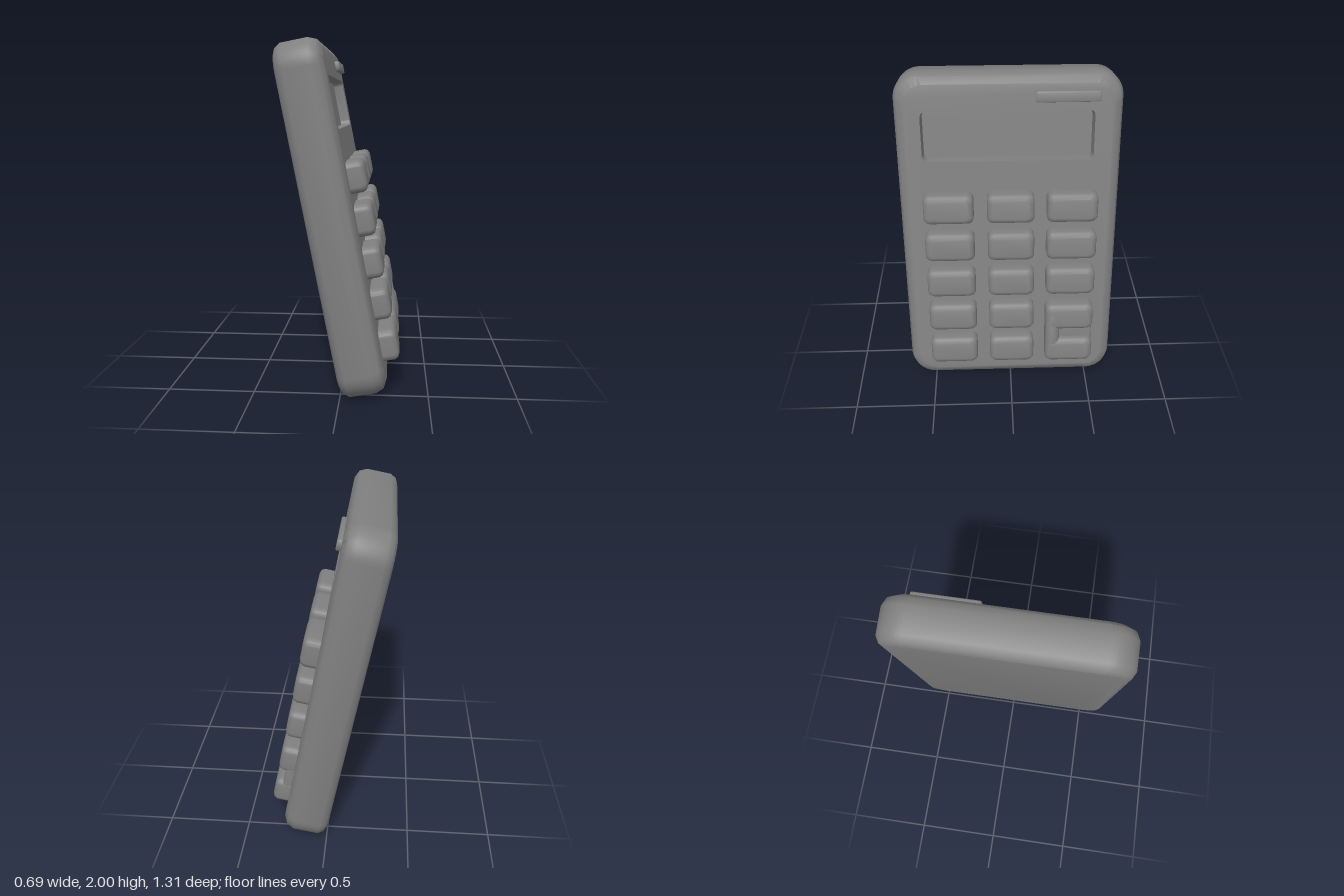
import * as THREE from 'three';
import { mergeGeometries, toCreasedNormals } from 'three/addons/utils/BufferGeometryUtils.js';

const TILT = 0.191, FRONT = 0.133; // lean angle; distance of the front face from the mid plane

// Rounded rectangle, drawn counter-clockwise
function roundRect(cx, cy, w, h, r) {
  const s = new THREE.Shape(), x = w / 2 - r, y = h / 2 - r;
  s.absarc(cx + x, cy + y, r, 0, Math.PI / 2);
  s.absarc(cx - x, cy + y, r, Math.PI / 2, Math.PI);
  s.absarc(cx - x, cy - y, r, Math.PI, Math.PI * 1.5);
  s.absarc(cx + x, cy - y, r, Math.PI * 1.5, Math.PI * 2);
  s.closePath();
  return s;
}

// Flat face at depth z
function cap(shape, z) {
  const g = new THREE.ShapeGeometry(shape, 6).toNonIndexed();
  g.deleteAttribute('uv');
  return g.translate(0, 0, z);
}

// Walls through rounded rectangles; each ring is [depth, inset]
function walls(cx, cy, w, h, r, rings) {
  const loops = rings.map(([z, inset]) =>
    roundRect(cx, cy, w - 2 * inset, h - 2 * inset, Math.max(r - inset * 0.6, 0.004))
      .getPoints(6).map(p => [p.x, p.y, z]));
  const pos = [];
  for (let k = 0; k + 1 < loops.length; k++) {
    const lo = loops[k], hi = loops[k + 1], n = lo.length;
    for (let i = 0; i < n; i++) {
      const j = (i + 1) % n;
      pos.push(...lo[i], ...lo[j], ...hi[j], ...lo[i], ...hi[j], ...hi[i]);
    }
  }
  const g = new THREE.BufferGeometry();
  g.setAttribute('position', new THREE.Float32BufferAttribute(pos, 3));
  g.computeVertexNormals();
  return g;
}

// Soft-edged block standing on the front face
function block(cx, cy, w, h, r, top, soft) {
  const rings = [[FRONT - 0.01, 0], [top - soft, 0], [top - soft * 0.35, soft * 0.3], [top, soft]];
  const face = roundRect(cx, cy, w - 2 * soft, h - 2 * soft, Math.max(r - soft * 0.6, 0.004));
  return toCreasedNormals(mergeGeometries([walls(cx, cy, w, h, r, rings), cap(face, top)]), 0.9);
}

// Position along the panel for a given height at depth n
const along = (y, n) => (y - 1 - n * Math.sin(TILT)) / Math.cos(TILT);

export function createModel() {
  const grey = new THREE.MeshStandardMaterial({ color: 0x808080 });
  grey.name = 'grey plastic';
  const model = new THREE.Group();
  model.name = 'calculator';
  const panel = new THREE.Group();
  panel.name = 'tiltedCalculator';
  panel.rotation.set(0, Math.PI / 2, TILT, 'ZYX');
  panel.position.set(-0.045, 1, 0);
  model.add(panel);
  const add = (geometry, name, parent = panel) => {
    const mesh = new THREE.Mesh(geometry, grey);
    mesh.name = name;
    parent.add(mesh);
  };

  // Case with rounded edges and an opening for the display
  const W = 1.31, H = 2.004, R = 0.15;
  const bot = along(1.51, FRONT), top = along(1.8, FRONT);
  const screen = [-0.0075, (bot + top) / 2, 0.995, top - bot, 0.035];
  const front = roundRect(0, 0, W - 0.12, H - 0.12, R - 0.036);
  front.holes.push(roundRect(...screen));
  const back = cap(roundRect(0, 0, W - 0.09, H - 0.09, R - 0.027), FRONT).rotateY(Math.PI);
  const sides = walls(0, 0, W, H, R,
    [[-FRONT, 0.045], [-0.118, 0.018], [-0.085, 0], [0.065, 0], [0.11, 0.018], [FRONT, 0.06]]);
  add(toCreasedNormals(mergeGeometries([sides, back, cap(front, FRONT)]), 0.7), 'case');

  // Sunken display
  const floor = FRONT - 0.06;
  add(toCreasedNormals(mergeGeometries([
    walls(...screen, [[FRONT, 0], [floor, 0.008]]),
    cap(roundRect(screen[0], screen[1], screen[2] - 0.016, screen[3] - 0.016, 0.0302), floor),
  ]), 0.7), 'display');

  // Raised strip above the display
  add(block(0.333, along(1.882, 0.145), 0.365, 0.062, 0.01, 0.16, 0.006), 'topStrip');

  // Keys in five rows and three columns
  const keys = new THREE.Group();
  keys.name = 'keys';
  panel.add(keys);
  const TOP = 0.23, MID = 0.19;
  const columns = [[-0.3625, 0.295], [0.005, 0.28], [0.37, 0.3]];
  const rows = [1.252, 1.012, 0.772, 0.535, 0.295];
  rows.forEach((y, r) => columns.forEach(([x, w], c) => {
    if (c === 2 && r > 2) return;
    add(block(x, along(y, MID), w, 0.18, 0.04, TOP, 0.03), 'key', keys);
  }));

  // Double-height key with a slot open to one side
  const tall = new THREE.Group();
  tall.name = 'tallKey';
  keys.add(tall);
  const lower = along(0.282, MID), upper = along(0.52, MID);
  add(block(0.37, along(0.4, MID), 0.296, 0.4, 0.04, 0.185, 0.012), 'tallKeyBase', tall);
  add(block(0.37, lower, 0.3, 0.165, 0.04, TOP, 0.03), 'tallKeyLower', tall);
  add(block(0.37, upper, 0.3, 0.175, 0.04, TOP, 0.03), 'tallKeyUpper', tall);
  add(block(0.265, (lower + upper) / 2, 0.09, 0.34, 0.035, TOP, 0.03), 'tallKeyBridge', tall);
  return model;
}
